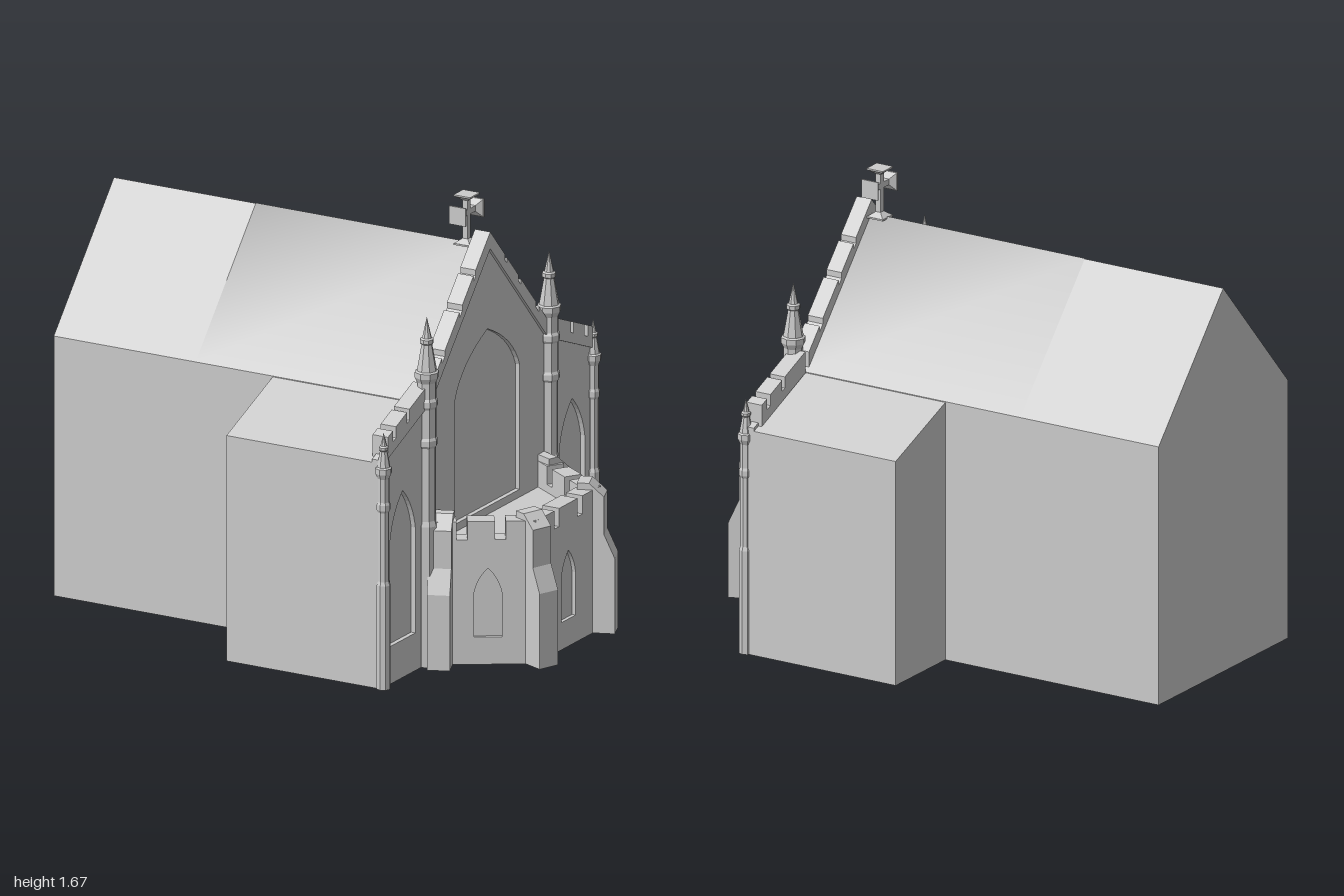
import * as THREE from 'three';

const flat = new THREE.MeshStandardMaterial({ color: 0xcccccc, flatShading: true });
const smooth = new THREE.MeshStandardMaterial({ color: 0xcccccc });

function add(parent, name, geometry, material = flat) {
  const mesh = new THREE.Mesh(geometry, material);
  mesh.name = name;
  parent.add(mesh);
  return mesh;
}

const polygon = pts => new THREE.Shape(pts.map(p => new THREE.Vector2(...p)));
const extrude = (shape, depth) =>
  new THREE.ExtrudeGeometry(shape, { depth, bevelEnabled: false, curveSegments: 8 });

// Cross-section drawn across the building, swept along x from x0 to x1
const sweepX = (shape, x0, x1) => extrude(shape, x1 - x0).rotateY(Math.PI / 2).translate(x0, 0, 0);

// Pointed window outline
function lancet(cx, w, y0, spring, apex) {
  const s = new THREE.Path();
  const k = spring + (apex - spring) * 0.6;
  s.moveTo(cx - w, y0);
  s.lineTo(cx + w, y0);
  s.lineTo(cx + w, spring);
  s.quadraticCurveTo(cx + w * 0.8, k, cx, apex);
  s.quadraticCurveTo(cx - w * 0.8, k, cx - w, spring);
  s.closePath();
  return s;
}

// Sloping battlement between two points of the gable, notched at the given u ranges
function parapet(a, b, h, notch, gaps) {
  const at = (u, up) => [a[0] + (b[0] - a[0]) * u, a[1] + (b[1] - a[1]) * u + up];
  const pts = [at(0, 0), at(0, h)];
  for (const [u0, u1] of gaps) pts.push(at(u0, h), at(u0, h - notch), at(u1, h - notch), at(u1, h));
  pts.push(at(1, h), at(1, 0));
  return polygon(pts);
}

// Crenellated porch wall with a recessed lancet, standing on a plan segment
function porchWall(parent, name, cx, cz, nx, nz, len, gapAt, gapW, winX) {
  const outline = () => {
    const p = [[-len / 2, 0], [len / 2, 0], [len / 2, 0.55]];
    for (const g of [gapAt, -gapAt]) {
      p.push([g + gapW / 2, 0.55], [g + gapW / 2, 0.48], [g - gapW / 2, 0.48], [g - gapW / 2, 0.55]);
    }
    p.push([-len / 2, 0.55]);
    return polygon(p);
  };
  const group = new THREE.Group();
  group.name = name;
  add(group, 'wallCore', extrude(outline(), 0.055));
  const face = outline();
  face.holes.push(lancet(winX, 0.052, 0.105, 0.27, 0.37));
  add(group, 'wallFace', extrude(face, 0.015)).position.z = 0.055;
  group.position.set(cx - nx * 0.07, 0, cz - nz * 0.07);
  group.rotation.y = Math.atan2(nx, nz);
  parent.add(group);
}

// Stepped buttress running outward from (x, z)
function buttress(parent, name, x, z, dx, dz, reach) {
  const s = polygon([[0, 0], [reach, 0], [reach, 0.29], [reach - 0.04, 0.38],
    [reach - 0.04, 0.525], [reach - 0.095, 0.575], [0, 0.575]]);
  const mesh = add(parent, name, extrude(s, 0.085).translate(0, 0, -0.0425));
  mesh.position.set(x, 0, z);
  mesh.rotation.y = Math.atan2(-dz, dx);
}

function turret(parent, name, x, z, profile) {
  const pts = profile.map(p => new THREE.Vector2(...p));
  add(parent, name, new THREE.LatheGeometry(pts, 8)).position.set(x, 0, z);
}

export function createModel() {
  const model = new THREE.Group();

  // Nave and lower side aisles
  add(model, 'nave', sweepX(polygon([[-0.438, 0], [0.438, 0], [0.438, 1], [0, 1.485], [-0.438, 1]]), -1, 0.55));
  add(model, 'aisles', sweepX(polygon([[-0.775, 0], [0.775, 0], [0.775, 0.868], [0.43, 1],
    [-0.43, 1], [-0.775, 0.868]]), -0.075, 0.55));

  // Softly shaded front stretch of the nave roof
  const roof = new THREE.BufferGeometry();
  const verts = [];
  for (const x of [-0.4, 0.545]) for (const z of [-0.438, 0, 0.438]) verts.push(x, z ? 1.002 : 1.487, z);
  roof.setAttribute('position', new THREE.Float32BufferAttribute(verts, 3));
  roof.setIndex([0, 1, 3, 1, 4, 3, 1, 2, 4, 2, 5, 4]);
  roof.computeVertexNormals();
  add(model, 'frontRoof', roof, smooth);

  // Facade: solid back layer, then a face layer pierced by the windows
  const facade = () => polygon([[-0.775, 0], [0.775, 0], [0.775, 0.88], [0.46, 1.01], [0.43, 1.04],
    [0, 1.495], [-0.43, 1.04], [-0.46, 1.01], [-0.775, 0.88]]);
  add(model, 'facadeBack', sweepX(facade(), 0.54, 0.56));
  const face = facade();
  face.holes.push(lancet(0, 0.235, 0.48, 0.96, 1.165));
  for (const s of [-1, 1]) face.holes.push(lancet(s * 0.617, 0.092, 0.145, 0.55, 0.72));
  add(model, 'facadeFace', sweepX(face, 0.56, 0.578));

  // Flat-roofed porch body
  add(model, 'porchBody', extrude(polygon([[0.55, -0.4], [0.6, -0.4], [0.875, -0.215],
    [0.875, 0.215], [0.6, 0.4], [0.55, 0.4]]), 0.45).rotateX(-Math.PI / 2));
  porchWall(model, 'porchFrontWall', 0.92, 0, 1, 0, 0.44, 0.085, 0.035, 0);

  const navePinnacle = [[0, 0], [0.04, 0], [0.04, 0.54], [0.034, 0.56], [0.034, 0.84], [0.041, 0.85],
    [0.041, 0.87], [0.036, 0.88], [0.036, 0.99], [0.042, 1], [0.042, 1.02], [0.036, 1.03], [0.036, 1.09],
    [0.046, 1.11], [0.046, 1.13], [0.038, 1.135], [0.02, 1.235], [0.026, 1.24], [0.026, 1.255],
    [0.018, 1.26], [0, 1.34]];
  const cornerPinnacle = [[0, 0], [0.026, 0], [0.026, 0.4], [0.021, 0.415], [0.021, 0.68], [0.026, 0.69],
    [0.026, 0.71], [0.022, 0.72], [0.022, 0.81], [0.031, 0.83], [0.031, 0.85], [0.025, 0.855],
    [0.014, 0.915], [0.018, 0.92], [0.018, 0.93], [0.012, 0.935], [0, 0.985]];

  for (const s of [-1, 1]) {
    const side = s > 0 ? 'left' : 'right';

    // Battlements on gable and aisles
    const gable = parapet([0, 1.475], [s * 0.425, 1.01], 0.065, 0.022,
      [[0.25, 0.29], [0.48, 0.53], [0.78, 0.83]]);
    add(model, side + 'GableCoping', sweepX(gable, 0.525, 0.59));
    const aisle = parapet([s * 0.745, 0.88], [s * 0.45, 1.0], 0.083, 0.043, [[0.12, 0.2], [0.47, 0.53]]);
    add(model, side + 'AisleParapet', sweepX(aisle, 0.525, 0.59));

    // Pinnacled turrets
    turret(model, side + 'NaveTurret', 0.58, s * 0.445, navePinnacle);
    turret(model, side + 'CornerTurret', 0.582, s * 0.763, cornerPinnacle);

    // Slanting porch walls and their buttresses
    porchWall(model, side + 'PorchWall', 0.75, s * 0.3425, 0.535, s * 0.845, 0.4, 0.07, 0.04, s * 0.025);
    buttress(model, side + 'FrontButtress', 0.85, s * 0.195, 0.93, s * 0.37, 0.14);
    buttress(model, side + 'SideButtress', 0.6, s * 0.36, 0.38, s * 0.92, 0.135);
  }

  // Ridge cross with four flared, square-ended arms
  const cross = new THREE.Group();
  cross.name = 'ridgeCross';
  for (let i = 0; i < 4; i++) {
    const down = i === 2;
    const reach = down ? 0.125 : 0.068;
    const arm = new THREE.Group();
    arm.name = 'crossArm';
    add(arm, 'armStem', new THREE.BoxGeometry(0.022, reach, 0.022)).position.y = reach / 2;
    const flare = new THREE.CylinderGeometry(0.035 * Math.SQRT2, 0.011 * Math.SQRT2, 0.018, 4).rotateY(Math.PI / 4);
    add(arm, 'armFlare', flare).position.y = reach - 0.014;
    add(arm, 'armEnd', new THREE.BoxGeometry(0.07, 0.006, 0.07)).position.y = reach - 0.003;
    arm.rotation.x = i * Math.PI / 2;
    cross.add(arm);
  }
  cross.position.set(0.49, 1.603, 0);
  model.add(cross);

  return model;
}
